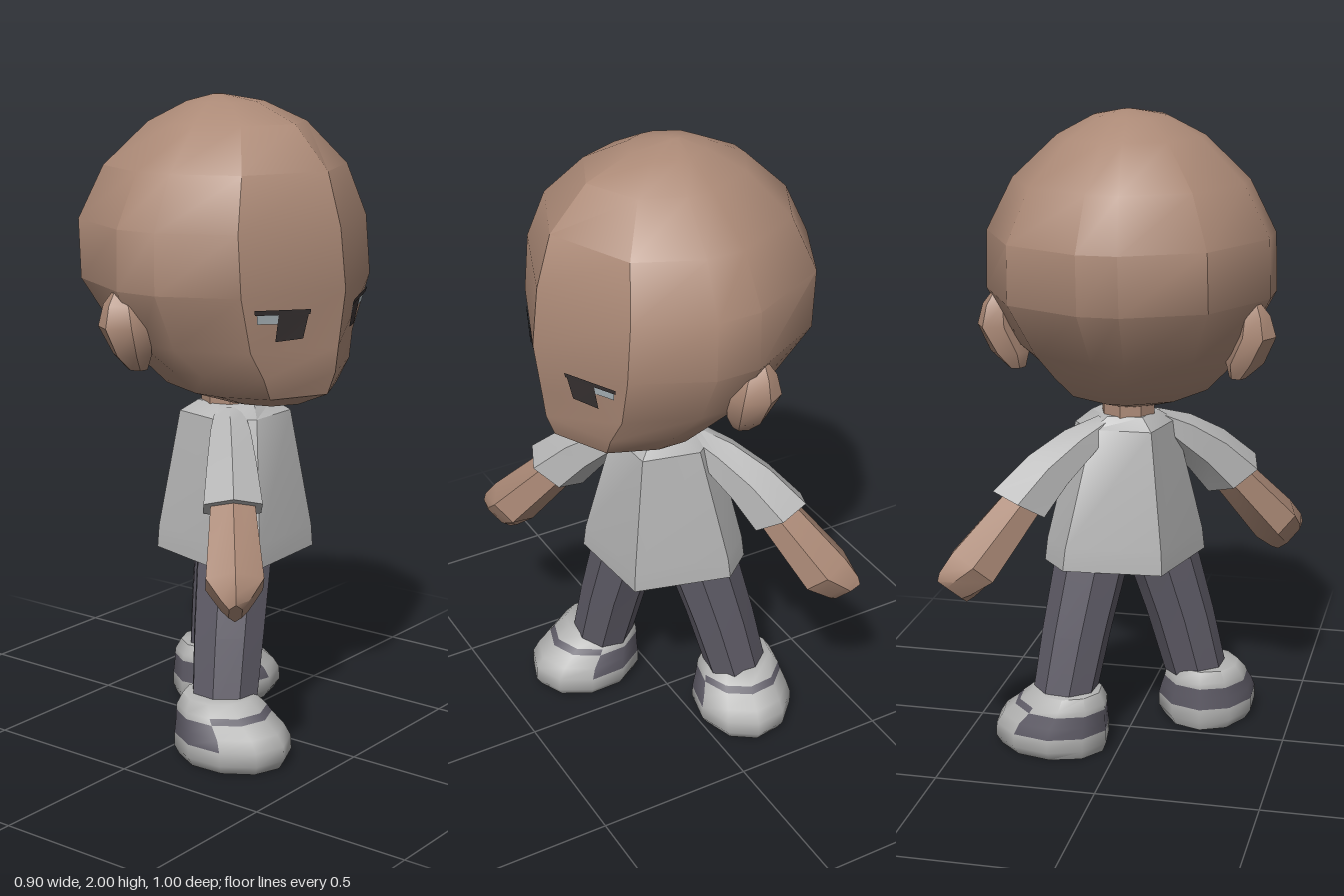
import * as THREE from 'three';
import { toCreasedNormals } from 'three/addons/utils/BufferGeometryUtils.js';

const mat = (name, color, side = THREE.FrontSide) => {
  const m = new THREE.MeshStandardMaterial({ color, side });
  m.name = name;
  return m;
};
const skin = mat('skin', 0xac8a77);
const shirtGrey = mat('shirt grey', 0xb6b6b6);
const shoeGrey = mat('shoe grey', 0xb5b5b4);
const trouserGrey = mat('trouser grey', 0x5f5c67);
const eyeDark = mat('eye dark', 0x3b3535, THREE.DoubleSide);
const eyeLight = mat('eye light', 0xb6c1c6, THREE.DoubleSide);

// Faceted skin over rings listed bottom to top; each ring runs from +z towards +x.
function loft(rings, crease = 0.62, pick = () => 0) {
  const pos = [];
  const g = new THREE.BufferGeometry();
  const n = rings[0].length;
  const tri = (m, ...pts) => {
    g.addGroup(pos.length / 3, 3, m);
    pts.forEach((p) => pos.push(...p));
  };
  for (let r = 0; r < rings.length - 1; r++) {
    for (let c = 0; c < n; c++) {
      const d = (c + 1) % n, m = pick(r, c), lo = rings[r], hi = rings[r + 1];
      tri(m, lo[c], lo[d], hi[d]);
      tri(m, lo[c], hi[d], hi[c]);
    }
  }
  // end caps
  const lo = rings[0], hi = rings[rings.length - 1];
  for (let c = 1; c < n - 1; c++) {
    tri(0, lo[0], lo[c + 1], lo[c]);
    tri(0, hi[0], hi[c], hi[c + 1]);
  }
  g.setAttribute('position', new THREE.Float32BufferAttribute(pos, 3));
  return toCreasedNormals(g, crease);
}

// Elliptical ring of n points
const oval = (n, y, cx, cz, rx, rz, phase = 0) =>
  Array.from({ length: n }, (_, i) => {
    const a = ((i + phase) / n) * Math.PI * 2;
    return [cx + Math.sin(a) * rx, y, cz + Math.cos(a) * rz];
  });

function add(parent, name, geometry, material) {
  if (!Array.isArray(material)) geometry.clearGroups();
  const m = new THREE.Mesh(geometry, material);
  m.name = name;
  parent.add(m);
  return m;
}

// Head levels: y, half width, back, front
const LEVELS = [
  [1.085, 0.10, -0.03, 0.28],
  [1.13, 0.23, -0.18, 0.385],
  [1.20, 0.295, -0.25, 0.412],
  [1.28, 0.35, -0.315, 0.422],
  [1.45, 0.44, -0.44, 0.445],
  [1.63, 0.435, -0.455, 0.425],
  [1.79, 0.355, -0.38, 0.378],
  [1.92, 0.22, -0.245, 0.26],
  [1.98, 0.11, -0.12, 0.12],
  [2.0, 0.015, -0.04, -0.01],
];
const HALF_PLAN = [[0.75, 0.7], [1, 0.19], [1, -0.13], [0.68, -0.73], [0.14, -0.99]];
const PLAN = [[0, 1], ...HALF_PLAN, ...HALF_PLAN.slice().reverse().map(([w, d]) => [-w, d])];

// Depth of the face plane at eye height
function faceZ(x, y) {
  const t = (y - 1.28) / 0.17;
  const w = THREE.MathUtils.lerp(LEVELS[3][1], LEVELS[4][1], t);
  const f = THREE.MathUtils.lerp(LEVELS[3][3], LEVELS[4][3], t);
  return f - (Math.abs(x) / (0.75 * w)) * 0.3 * f;
}

function facePatch(points, side, lift) {
  const g = new THREE.ShapeGeometry(new THREE.Shape(points.map(([x, y]) => new THREE.Vector2(x * side, y))));
  const p = g.attributes.position;
  for (let i = 0; i < p.count; i++) p.setZ(i, faceZ(p.getX(i), p.getY(i)) + lift);
  g.computeVertexNormals();
  return g;
}

function buildHead() {
  const head = new THREE.Group();
  head.name = 'head';
  const rings = LEVELS.map(([y, w, b, f]) =>
    PLAN.map(([px, pz]) => {
      const mid = (b + f) / 2, half = (f - b) / 2;
      // the face keeps its wedge; chin and crown are centred ovals
      const z = y > 1.25 && y < 1.9 ? (pz > 0 ? pz * f : -pz * b) : mid + pz * half;
      return [px * w, y, z];
    }));
  add(head, 'skull', loft(rings), skin);
  for (const s of [1, -1]) {
    // ear leans in towards the jaw, its back edge standing out
    const ear = add(head, 'ear', loft([
      oval(6, -0.12, -s * 0.05, 0.025, 0.025, 0.03),
      oval(6, -0.07, -s * 0.03, 0.015, 0.06, 0.06),
      oval(6, 0.015, 0, 0, 0.06, 0.08),
      oval(6, 0.08, -s * 0.005, -0.005, 0.045, 0.06),
      oval(6, 0.115, -s * 0.01, -0.015, 0.02, 0.025),
    ]), skin);
    ear.position.set(s * 0.4, 1.325, -0.065);
    ear.rotation.y = -s * 0.4;
    add(head, 'eyeWhite', facePatch([[0.12, 1.36], [0.268, 1.37], [0.278, 1.405], [0.12, 1.395]], s, 0.006), eyeLight);
    add(head, 'iris', facePatch([[0.12, 1.315], [0.203, 1.312], [0.21, 1.4], [0.115, 1.395]], s, 0.008), eyeDark);
    add(head, 'upperLid', facePatch([[0.112, 1.388], [0.285, 1.398], [0.29, 1.413], [0.112, 1.403]], s, 0.01), eyeDark);
  }
  head.rotation.y = Math.PI / 2;
  return head;
}

function buildArm(s) {
  const arm = new THREE.Group();
  arm.name = s > 0 ? 'leftArm' : 'rightArm';
  // forearm widens to a mitten that ends in a wedge
  add(arm, 'forearm', loft([
    oval(6, -0.6, s * 0.032, 0, 0.062, 0.022, 0.5),
    oval(6, -0.575, s * 0.032, 0, 0.074, 0.047, 0.5),
    oval(6, -0.505, s * 0.025, 0, 0.084, 0.097, 0.5),
    oval(6, -0.20, s * 0.015, 0, 0.062, 0.07, 0.5),
  ]), skin);
  // sleeve end is cut on a slight slant
  const cuff = oval(6, -0.26, s * 0.022, 0, 0.1, 0.1, 0.5).map(([x, y, z]) => [x, y - s * x * 0.18, z]);
  add(arm, 'sleeve', loft([
    cuff,
    oval(6, -0.13, s * 0.01, 0, 0.085, 0.085, 0.5),
    oval(6, 0.0, -s * 0.02, 0, 0.065, 0.07, 0.5),
    oval(6, 0.1, -s * 0.05, 0, 0.03, 0.05, 0.5),
  ]), shirtGrey);
  arm.position.set(s * 0.186, 1.0, 0.01);
  arm.rotation.z = s * 0.715;
  return arm;
}

function buildLeg(s) {
  const leg = new THREE.Group();
  leg.name = s > 0 ? 'leftLeg' : 'rightLeg';
  add(leg, 'trouserLeg', loft([
    oval(8, 0.16, s * 0.24, -0.01, 0.1, 0.105, 0.5),
    oval(8, 0.38, s * 0.185, 0.006, 0.108, 0.115, 0.5),
    oval(8, 0.61, s * 0.118, 0.025, 0.118, 0.122, 0.5),
  ]), trouserGrey);

  // shoe with dark side band and lace strip, toes turned out
  const n = 10;
  const shoe = add(leg, 'shoe', loft([
    oval(n, 0.005, 0, 0.05, 0.14, 0.175),
    oval(n, 0.035, 0, 0.053, 0.16, 0.19),
    oval(n, 0.078, 0, 0.052, 0.16, 0.188),
    oval(n, 0.112, 0, 0.042, 0.15, 0.175),
    oval(n, 0.148, 0, 0.02, 0.137, 0.152),
    oval(n, 0.166, 0, 0.012, 0.132, 0.142),
    oval(n, 0.2, 0, 0, 0.108, 0.112),
  ], 1.1, (r, c) => {
    const toe = Math.cos(((c + 0.5) / n) * Math.PI * 2) > 0.5;
    return ((r === 2 || r === 3) && !toe) || (r === 4 && toe) ? 1 : 0;
  }), [shoeGrey, trouserGrey]);
  shoe.position.set(s * 0.25 - 0.012, 0, -0.028);
  shoe.rotation.y = s * 0.65;
  return leg;
}

function buildBody() {
  const body = new THREE.Group();
  body.name = 'body';
  // torso ring: front and back ridges with narrow flat flanks
  const ring = (y, f, s, e) => [[0, y, f], [s, y, e], [s, y, -e], [0, y, -f], [-s, y, -e], [-s, y, e]];
  const shirt = add(body, 'shirt', loft([
    ring(0.59, 0.245, 0.252, 0.065),
    ring(0.66, 0.24, 0.243, 0.065),
    ring(1.03, 0.172, 0.145, 0.06),
    ring(1.065, 0.115, 0.09, 0.055),
  ]), shirtGrey);
  shirt.position.z = 0.032;
  add(body, 'neck', loft([oval(8, 1.02, 0, 0.012, 0.085, 0.085), oval(8, 1.16, 0, 0.012, 0.085, 0.085)]), skin);
  for (const s of [1, -1]) body.add(buildArm(s), buildLeg(s));
  // the body is turned away from where the head looks
  body.rotation.y = THREE.MathUtils.degToRad(129.5);
  return body;
}

export function createModel() {
  const model = new THREE.Group();
  model.name = 'figure';
  model.add(buildHead(), buildBody());
  return model;
}
